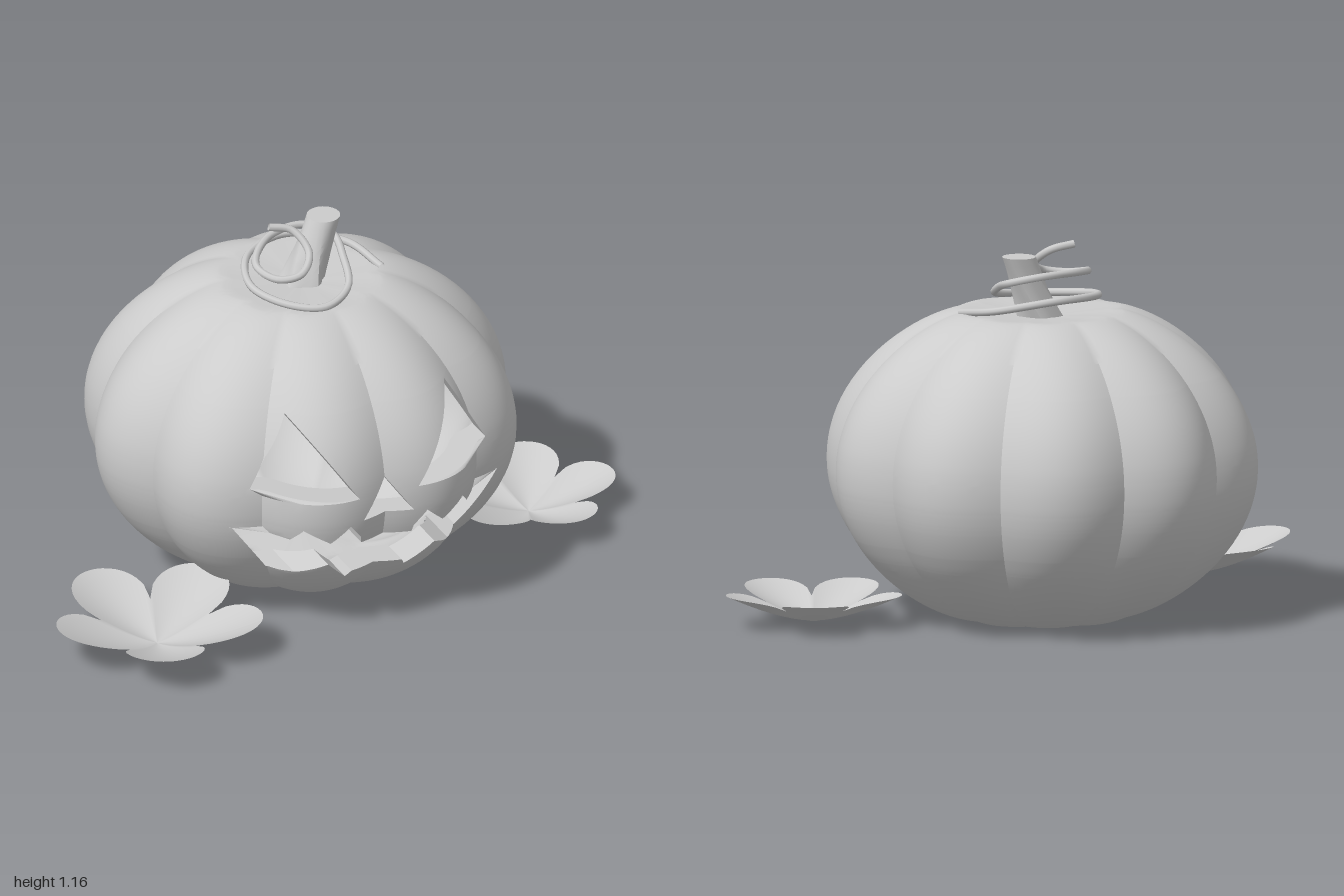
import * as THREE from 'three';
import { toCreasedNormals } from 'three/addons/utils/BufferGeometryUtils.js';

const CZ = -0.025, MID = 0.475, INNER = 0.86, COLS = 160;
const grey = (side = THREE.FrontSide) => new THREE.MeshStandardMaterial({ color: 0xcccccc, side });

function addMesh(parent, name, geometry, side) {
  const mesh = new THREE.Mesh(geometry, grey(side));
  mesh.name = name;
  parent.add(mesh);
  return mesh;
}

function geometryFrom(points) {
  const g = new THREE.BufferGeometry().setFromPoints(points);
  g.computeVertexNormals();
  return g;
}

// Face cutouts in the front plane: each is a closed outline of [x, y]
const mirror = (pts) => pts.map(([x, y]) => [-x, y]).reverse();
const eye = [[0.27, 0.76], [0.10, 0.51], [0.40, 0.535]];
const nose = [[0, 0.55], [-0.085, 0.43], [0.085, 0.43]];
const halfMouth = [
  [0.085, 0.345], [0.09, 0.37], [0.13, 0.42], [0.19, 0.365], [0.27, 0.415], [0.30, 0.375],
  [0.45, 0.40], [0.32, 0.22], [0.26, 0.225], [0.18, 0.27], [0.10, 0.185], [0.085, 0.21],
];
const cutouts = [eye, mirror(eye), nose, [...halfMouth, ...mirror(halfMouth)]];
const edges = cutouts.flatMap((c) => c.map((p, i) => [p, c[(i + 1) % c.length]]));

// Ten-lobed pumpkin surface
const lobe = (a) => 0.925 + 0.08 * Math.abs(Math.sin(5 * a));
const profile = (y) => 0.25 + 0.42 * Math.pow(Math.max(0, 1 - ((y - MID) / MID) ** 2), 0.7);
const radiusAt = (y, s) => s * profile((y - MID) / s + MID);
const surfacePoint = (a, r, y) =>
  new THREE.Vector3(r * lobe(a) * Math.sin(a), y, r * lobe(a) * Math.cos(a) + CZ);

// Angle at which the surface of radius r reaches a given x on the front side
function angleAt(x, r) {
  let lo = -1.3, hi = 1.3;
  for (let i = 0; i < 30; i++) {
    const m = (lo + hi) / 2;
    if (r * lobe(m) * Math.sin(m) < x) lo = m; else hi = m;
  }
  return (lo + hi) / 2;
}

// Rings from the bottom centre to the top centre, with a row at every cutout corner
function makeRings(s) {
  const ys = [];
  for (let i = 0; i <= 48; i++) ys.push(MID - s * MID * Math.cos(Math.PI * i / 48));
  cutouts.flat().forEach(([, y]) => ys.push(y));
  ys.sort((a, b) => a - b);
  const wall = ys.filter((y, i) => i === 0 || y - ys[i - 1] > 1e-5).map((y) => ({ y, r: radiusAt(y, s) }));
  const cap = [0, 0.06, 0.12, 0.18, 0.22];
  const dip = (r) => 0.02 * (1 - r / 0.25);
  const bottom = cap.map((r) => ({ r: r * s, y: MID + s * (dip(r) - MID) }));
  const top = cap.map((r) => ({ r: r * s, y: MID + s * (MID - dip(r)) })).reverse();
  return [...bottom, ...wall, ...top];
}

// One skin of the pumpkin: rows of quads clipped against the cutouts
function skin(s) {
  const rings = makeRings(s), tris = [];
  for (let j = 0; j + 1 < rings.length; j++) {
    const A = rings[j], B = rings[j + 1], mid = (A.y + B.y) / 2;
    const xAt = ([p, q], y) => p[0] + (q[0] - p[0]) * (y - p[1]) / (q[1] - p[1]);
    const cross = edges
      .filter(([p, q]) => (p[1] < mid) !== (q[1] < mid))
      .sort((e, f) => xAt(e, mid) - xAt(f, mid))
      .map((e) => [angleAt(xAt(e, A.y), A.r), angleAt(xAt(e, B.y), B.r)]);
    const stops = [[-Math.PI, -Math.PI], ...cross, [Math.PI, Math.PI]];
    for (let k = 0; k < stops.length; k += 2) {
      const [l, r] = [stops[k], stops[k + 1]];
      for (let c = 0; c < COLS; c++) {
        const g = [c, c + 1].map((n) => -Math.PI + 2 * Math.PI * n / COLS);
        const [a0, a1] = g.map((t) => THREE.MathUtils.clamp(t, l[0], r[0]));
        const [b0, b1] = g.map((t) => THREE.MathUtils.clamp(t, l[1], r[1]));
        const p = surfacePoint(a0, A.r, A.y), q = surfacePoint(a1, A.r, A.y);
        const u = surfacePoint(b1, B.r, B.y), v = surfacePoint(b0, B.r, B.y);
        if (a1 - a0 > 1e-6 && A.r > 0) tris.push(...(s === 1 ? [p, q, u] : [p, u, q]));
        if (b1 - b0 > 1e-6 && B.r > 0) tris.push(...(s === 1 ? [p, u, v] : [p, v, u]));
      }
    }
  }
  return toCreasedNormals(geometryFrom(tris), 0.5);
}

// Flesh walls joining the outer and inner skins along every cutout edge
function cutWalls() {
  const tris = [], n = 12;
  const at = (x, y, s) => {
    const r = radiusAt(y, s);
    return surfacePoint(angleAt(x, r), r, y);
  };
  for (const [p, q] of edges) {
    for (let i = 0; i < n; i++) {
      const [a, b] = [i / n, (i + 1) / n].map((t) => [p[0] + (q[0] - p[0]) * t, p[1] + (q[1] - p[1]) * t]);
      const oa = at(...a, 1), ob = at(...b, 1), ia = at(...a, INNER), ib = at(...b, INNER);
      tris.push(oa, ob, ib, oa, ib, ia);
    }
  }
  return geometryFrom(tris);
}

// Leaning, twisted, ribbed stem
function stemGeometry() {
  const g = new THREE.CylinderGeometry(1, 1, 1, 20, 8);
  const pos = g.attributes.position;
  for (let i = 0; i < pos.count; i++) {
    const t = pos.getY(i) + 0.5, x = pos.getX(i), z = pos.getZ(i);
    const a = Math.atan2(z, x);
    const r = Math.hypot(x, z) * (0.052 + 0.018 * (1 - t) ** 2) * (1 + 0.12 * (1 - t) * Math.cos(5 * a));
    const w = a + 0.7 * t;
    pos.setXYZ(i, 0.005 + 0.087 * t + r * Math.cos(w), 0.92 + 0.207 * t, -0.03 - 0.025 * t + r * Math.sin(w));
  }
  return toCreasedNormals(g, 0.6);
}

// Five-lobed leaf, cupped upward, with a soft fold along each lobe
function leafGeometry(R, turn, rise) {
  const rings = 8, segs = 100, pts = [], index = [];
  for (let j = 0; j <= rings; j++) {
    for (let i = 0; i <= segs; i++) {
      const t = j / rings, a = 2 * Math.PI * i / segs;
      const petal = Math.abs(Math.cos(2.5 * a));
      const f = t * (0.53 + 0.47 * Math.pow(petal, 0.6));
      const y = 0.012 + rise * Math.pow(f, 1.5) + 0.03 * f * (1 - petal);
      pts.push(new THREE.Vector3(R * f * Math.cos(a + turn), y, R * f * Math.sin(a + turn)));
      if (j < rings && i < segs) {
        const k = j * (segs + 1) + i, m = k + segs + 1;
        index.push(k, k + 1, m, k + 1, m + 1, m);
      }
    }
  }
  const g = new THREE.BufferGeometry().setFromPoints(pts);
  g.setIndex(index);
  g.computeVertexNormals();
  return g;
}

export function createModel() {
  const model = new THREE.Group();
  model.name = 'carvedPumpkin';

  const body = new THREE.Group();
  body.name = 'pumpkinBody';
  model.add(body);
  addMesh(body, 'outerSkin', skin(1));
  addMesh(body, 'innerSkin', skin(INNER));
  addMesh(body, 'faceCutWalls', cutWalls(), THREE.DoubleSide);

  addMesh(model, 'stem', stemGeometry());

  // Vine tendril coiling around the stem
  const path = new THREE.CatmullRomCurve3([
    [0.25, 0.95, 0.03], [0.2, 0.975, -0.12], [0.03, 1.005, -0.195], [-0.13, 1.0, -0.13],
    [-0.19, 0.98, 0.03], [-0.12, 0.965, 0.16], [-0.02, 0.962, 0.21], [0.08, 0.98, 0.15],
    [0.115, 1.02, 0.04], [0.125, 1.05, -0.07], [0.05, 1.07, -0.12], [-0.08, 1.07, -0.09],
    [-0.175, 1.05, 0.03], [-0.14, 1.035, 0.11], [-0.07, 1.045, 0.13], [-0.015, 1.08, 0.07],
    [-0.04, 1.13, 0], [-0.11, 1.147, -0.02],
  ].map((p) => new THREE.Vector3(...p)));
  addMesh(model, 'tendril', new THREE.TubeGeometry(path, 160, 0.012, 8), THREE.DoubleSide);

  // Leaves on the ground at either side
  const deg = Math.PI / 180;
  addMesh(model, 'rightLeaf', leafGeometry(0.33, 36 * deg, 0.115), THREE.DoubleSide).position.set(-0.67, 0, 0.37);
  addMesh(model, 'leftLeaf', leafGeometry(0.28, 4 * deg, 0.09), THREE.DoubleSide).position.set(0.72, 0, 0.09);

  return model;
}
